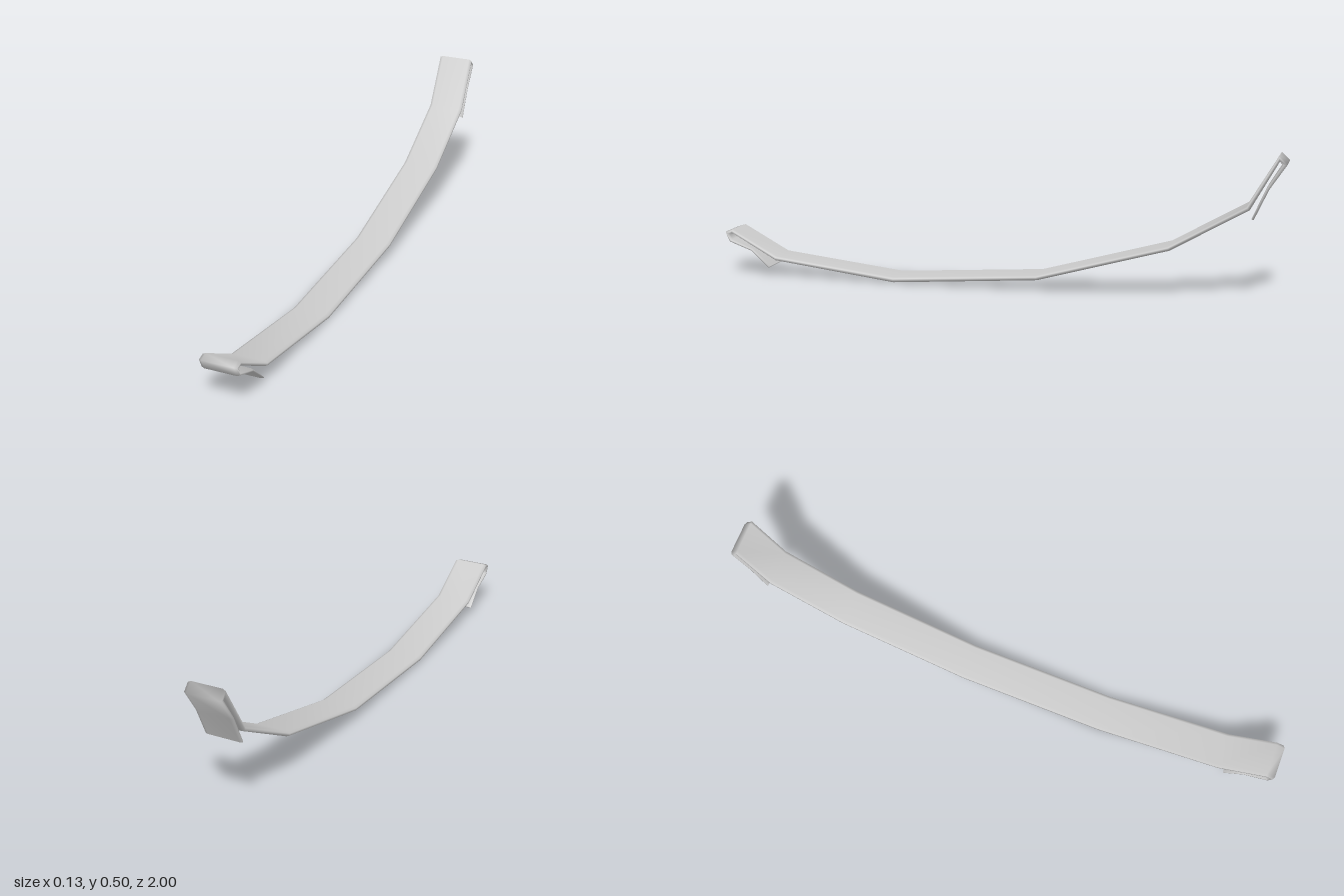
import * as THREE from 'three';

const material = new THREE.MeshStandardMaterial({ color: 0xcccccc });

// Sweep a thin bevelled section along a path of [z, y, halfThickness] points.
function sweepStrap(path, halfWidth, bevel) {
  const section = [
    [-halfWidth + bevel, 1], [halfWidth - bevel, 1], [halfWidth, 0.45], [halfWidth, -0.45],
    [halfWidth - bevel, -1], [-halfWidth + bevel, -1], [-halfWidth, -0.45], [-halfWidth, 0.45],
  ];
  const n = section.length;
  const positions = [];
  const index = [];
  const dir = (a, b) => new THREE.Vector2(b[0] - a[0], b[1] - a[1]).normalize();

  path.forEach(([z, y, half], i) => {
    const before = dir(path[Math.max(i - 1, 0)], path[Math.max(i, 1)]);
    const after = dir(path[Math.min(i, path.length - 2)], path[Math.min(i + 1, path.length - 1)]);
    const tangent = before.clone().add(after).normalize();
    // keep the thickness constant through the bends, limited at the tight folds
    const h = half / Math.max(tangent.dot(before), 0.75);
    for (const [x, s] of section) positions.push(x, y - tangent.x * s * h, z + tangent.y * s * h);
  });

  for (let i = 0; i < path.length - 1; i++) {
    for (let j = 0; j < n; j++) {
      const k = (j + 1) % n;
      const a = i * n + j, b = i * n + k, c = a + n, d = b + n;
      index.push(a, b, c, b, d, c);
    }
  }
  // end caps
  const last = (path.length - 1) * n;
  for (let j = 1; j < n - 1; j++) {
    index.push(0, j + 1, j);
    index.push(last, last + j, last + j + 1);
  }
  const geometry = new THREE.BufferGeometry();
  geometry.setAttribute('position', new THREE.Float32BufferAttribute(positions, 3));
  geometry.setIndex(index);
  geometry.computeVertexNormals();
  return geometry;
}

export function createModel() {
  const group = new THREE.Group();
  group.name = 'strap';

  // One continuous band: front folded flap, long curved span, rear folded flap
  const path = [
    [0.833, 0.032, 0.004],
    [0.898, 0.092, 0.005],
    [0.98, 0.122, 0.006],
    [0.993, 0.15, 0.007],
    [0.973, 0.156, 0.007],
    [0.807, 0.065, 0.008],
    [0.362, 0.0105, 0.0095],
    [-0.158, 0.046, 0.0085],
    [-0.614, 0.172, 0.008],
    [-0.875, 0.32, 0.008],
    [-0.973, 0.489, 0.007],
    [-0.991, 0.47, 0.007],
    [-0.937, 0.386, 0.005],
    [-0.891, 0.284, 0.004],
  ];
  const band = new THREE.Mesh(sweepStrap(path, 0.065, 0.01), material);
  band.name = 'foldedBand';
  group.add(band);
  return group;
}
